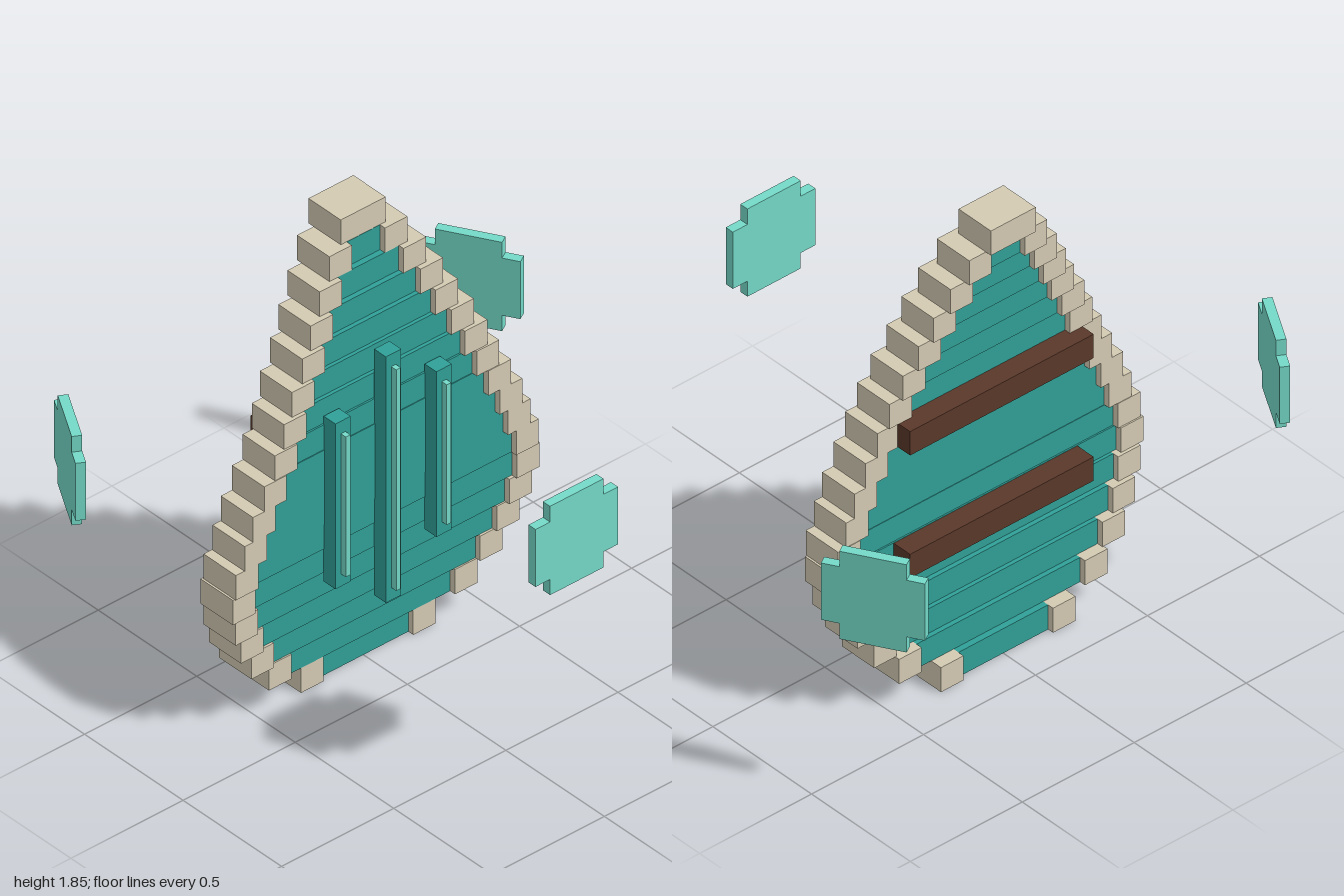
import * as THREE from 'three';

const paint = (name, color) => {
  const m = new THREE.MeshStandardMaterial({ color });
  m.name = name;
  return m;
};

export function createModel() {
  const teal = paint('deep teal', 0x30a098);
  const aqua = paint('pale aqua', 0x74d9c7);
  const bone = paint('bone', 0xd4cab3);
  const wood = paint('dark wood', 0x5a3829);

  const model = new THREE.Group();
  model.name = 'teardropShield';

  // box given by its extents on each axis
  function box(parent, name, material, [x0, x1], [y0, y1], [z0, z1]) {
    const mesh = new THREE.Mesh(new THREE.BoxGeometry(x1 - x0, y1 - y0, z1 - z0), material);
    mesh.position.set((x0 + x1) / 2, (y0 + y1) / 2, (z0 + z1) / 2);
    mesh.name = name;
    parent.add(mesh);
    return mesh;
  }

  // stepped shield body: [outer half width, front z of the rim] from bottom to top
  const rows = [
    [0.30, -0.198], [0.465, -0.173], [0.56, -0.154], [0.62, -0.138], [0.66, -0.12], [0.683, -0.108],
    [0.675, -0.102], [0.637, -0.1], [0.60, -0.1], [0.55, -0.1], [0.50, -0.103], [0.453, -0.11],
    [0.405, -0.124], [0.347, -0.138], [0.295, -0.155], [0.237, -0.175], [0.174, -0.198], [0.10, -0.224],
  ];
  const rowHeight = 1.85 / rows.length;
  const rimWidth = 0.1, rimDepth = 0.164, recess = 0.025;
  const body = new THREE.Group();
  body.name = 'shieldBody';
  model.add(body);
  rows.forEach(([half, front], i) => {
    const y = [i * rowHeight, (i + 1) * rowHeight];
    const inner = half - rimWidth;
    const back = front - rimDepth;
    if (inner > 0.01) {
      box(body, 'plank', teal, [-inner, inner], y, [back + recess, front - recess]);
      box(body, 'rimLeft', bone, [inner, half], y, [back, front]);
      box(body, 'rimRight', bone, [-half, -inner], y, [back, front]);
    } else {
      box(body, 'rimTip', bone, [-half, half], y, [back, front]);
    }
  });

  // raised ribs with a thin bright strip down each
  for (const [x, y0, y1] of [[0, 0.315, 1.335], [0.225, 0.48, 1.165], [-0.225, 0.48, 1.165]]) {
    box(model, 'rib', teal, [x - 0.034, x + 0.034], [y0, y1], [-0.13, -0.07]);
    box(model, 'ribStrip', aqua, [x - 0.01, x + 0.01], [y0 + 0.052, y1 - 0.052], [-0.075, -0.045]);
  }

  // wooden bars across the back
  for (const y of [0.515, 1.03]) {
    box(model, 'backBar', wood, [-0.41, 0.41], [y, y + 0.1], [-0.33, -0.23]);
  }

  // floating plates with notched corners
  const a = 0.184, b = 0.119, t = 0.036;
  const outline = new THREE.Shape([
    [b, -a], [b, -b], [a, -b], [a, b], [b, b], [b, a],
    [-b, a], [-b, b], [-a, b], [-a, -b], [-b, -b], [-b, -a],
  ].map(([x, y]) => new THREE.Vector2(x, y)));
  const plateGeometry = new THREE.ExtrudeGeometry(outline, { depth: t, bevelEnabled: false });
  plateGeometry.translate(0, 0, -t / 2);
  const plates = [
    ['frontPlate', 0, 1.082, 0.842, 0],
    ['rightPlate', -0.892, 0.978, -0.697, Math.PI / 3],
    ['leftPlate', 0.892, 0.877, -0.697, -Math.PI / 3],
  ];
  for (const [name, x, y, z, turn] of plates) {
    const plate = new THREE.Mesh(plateGeometry, aqua);
    plate.name = name;
    plate.position.set(x, y, z);
    plate.rotation.y = turn;
    model.add(plate);
  }

  return model;
}
